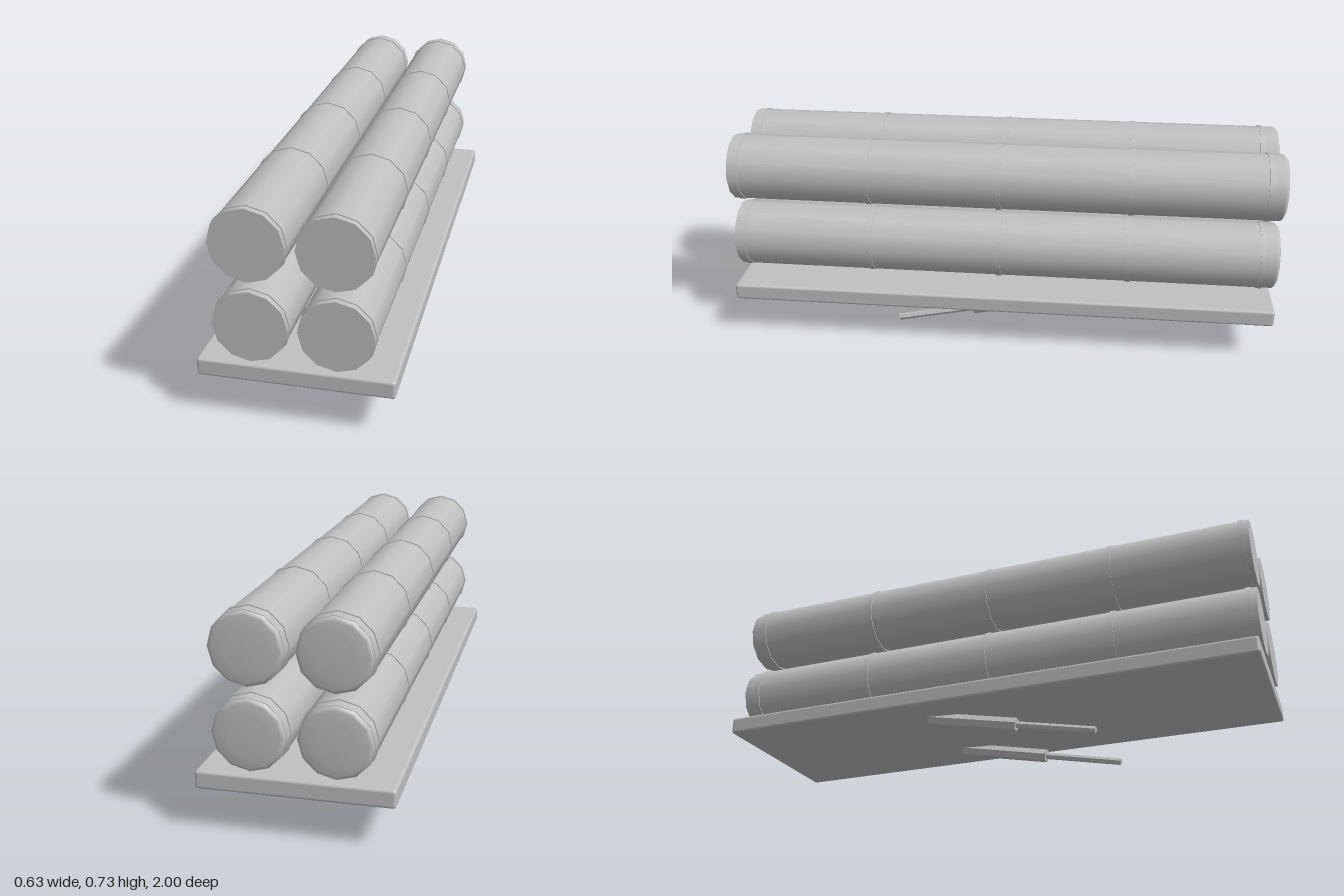
import * as THREE from 'three';
import { RoundedBoxGeometry } from 'three/addons/geometries/RoundedBoxGeometry.js';

const grey = new THREE.MeshStandardMaterial({ color: 0xc0c0c0 });
grey.name = 'plain grey';
const greyFaceted = grey.clone();
greyFaceted.flatShading = true;
greyFaceted.name = 'plain grey faceted';

function addMesh(parent, name, geometry, material = grey) {
  const mesh = new THREE.Mesh(geometry, material);
  mesh.name = name;
  parent.add(mesh);
  return mesh;
}

// Twelve-sided cylinder lying along z
function cylinderZ(radius, z0, z1) {
  return new THREE.CylinderGeometry(radius, radius, z1 - z0, 12)
    .rotateX(Math.PI / 2).translate(0, 0, (z0 + z1) / 2);
}

// Long canister with banding rings and a shallow domed rear cap
function createTube() {
  const tube = new THREE.Group();
  addMesh(tube, 'tubeBody', cylinderZ(0.12, -0.985, 1));
  const cap = [[0, -1], [0.065, -0.999], [0.105, -0.996], [0.114, -0.992], [0.12, -0.982]]
    .map(([r, z]) => new THREE.Vector2(r, z));
  addMesh(tube, 'rearCap', new THREE.LatheGeometry(cap, 12).rotateX(Math.PI / 2));
  for (const z of [0.97, 0.495, 0.018, -0.459, -0.936]) {
    addMesh(tube, 'bandRing', cylinderZ(0.1235, z - 0.01, z + 0.01));
  }
  return tube;
}

// Hexagonal rod between two points
function hexRod(radius, from, to) {
  const axis = to.clone().sub(from);
  return new THREE.CylinderGeometry(radius, radius, axis.length(), 6, 1, false, Math.PI / 6)
    .rotateX(Math.atan2(axis.z, axis.y))
    .translate(...from.clone().add(to).multiplyScalar(0.5).toArray());
}

export function createModel() {
  const model = new THREE.Group();
  model.name = 'tubeRack';

  // Base plate
  const plate = addMesh(model, 'basePlate', new RoundedBoxGeometry(0.632, 0.061, 1.985, 2, 0.01));
  plate.position.set(0, 0.1715, 0.005);

  // Two rows of two tubes
  for (const y of [0.338, 0.61]) {
    for (const x of [-0.135, 0.135]) {
      const tube = createTube();
      tube.name = (y > 0.5 ? 'upper' : 'lower') + (x > 0 ? 'LeftTube' : 'RightTube');
      tube.position.set(x, y, 0);
      model.add(tube);
    }
  }

  // Slanted lifting pistons under the plate
  for (const x of [-0.17, 0.17]) {
    const piston = new THREE.Group();
    piston.name = x > 0 ? 'leftPiston' : 'rightPiston';
    const point = (y, z) => new THREE.Vector3(x, y, z);
    addMesh(piston, 'pistonSleeve', hexRod(0.025, point(0.143, -0.222), point(0.072, 0.118)), greyFaceted);
    addMesh(piston, 'pistonRod', hexRod(0.0125, point(0.08, 0.08), point(0.011, 0.407)), greyFaceted);
    model.add(piston);
  }
  return model;
}
